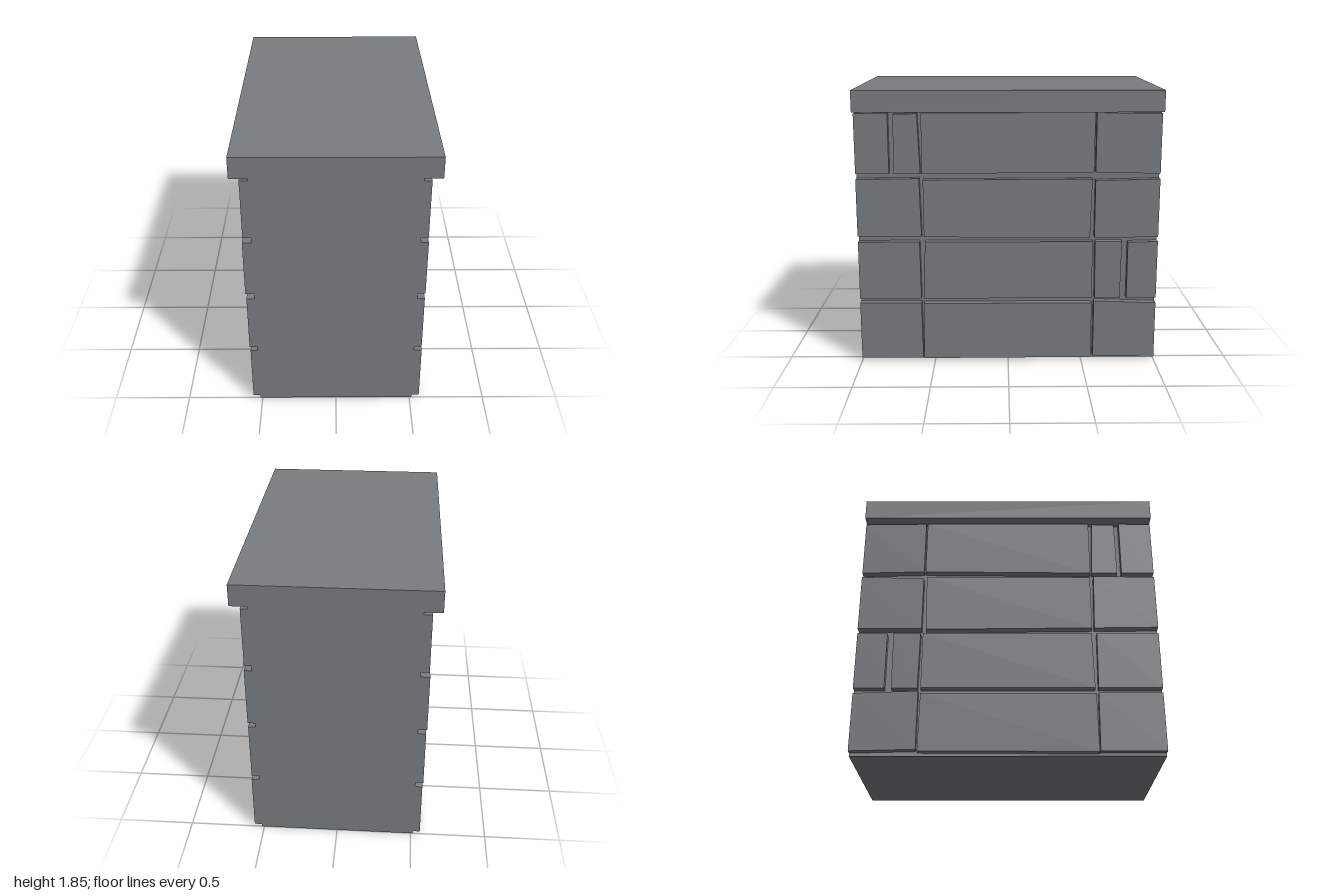
import * as THREE from 'three';

const stone = new THREE.MeshStandardMaterial({ color: 0x7a7d80 });
stone.name = 'grey stone';

// Slightly irregular blocks per course, bottom course first. Each block:
// z of front edge (bottom, top), z of back edge (bottom, top),
// y of front edge (bottom, top), y of back edge (bottom, top)
const COURSES = [
  { right: 0.565, left: 0.562, blocks: [
    [1, 1, 0.58, 0.585, 0.02, 0.415, 0.02, 0.415],
    [0.575, 0.57, -0.57, -0.565, 0.015, 0.41, 0.02, 0.41],
    [-0.58, -0.58, -1, -1, 0.03, 0.425, 0.02, 0.41],
  ] },
  { right: 0.563, left: 0.567, blocks: [
    [1, 1, 0.585, 0.59, 0.445, 0.84, 0.445, 0.84],
    [0.565, 0.555, -0.565, -0.565, 0.445, 0.84, 0.445, 0.84],
    [-0.585, -0.58, -0.755, -0.76, 0.445, 0.84, 0.445, 0.84],
    [-0.8, -0.8, -1, -1, 0.445, 0.835, 0.445, 0.84],
  ] },
  { right: 0.565, left: 0.572, blocks: [
    [1, 1, 0.575, 0.585, 0.88, 1.265, 0.875, 1.27],
    [0.56, 0.56, -0.545, -0.555, 0.875, 1.26, 0.865, 1.265],
    [-0.575, -0.575, -1, -1, 0.87, 1.255, 0.87, 1.265],
  ] },
  { right: 0.562, left: 0.567, blocks: [
    [1, 1, 0.78, 0.78, 1.3, 1.695, 1.3, 1.7],
    [0.75, 0.745, 0.575, 0.59, 1.3, 1.69, 1.3, 1.695],
    [0.565, 0.565, -0.565, -0.565, 1.3, 1.7, 1.31, 1.7],
    [-0.575, -0.575, -1, -1, 1.31, 1.7, 1.3, 1.695],
  ] },
];
const CORE = 0.515;

function box(name, w, h, d, y) {
  const mesh = new THREE.Mesh(new THREE.BoxGeometry(w, h, d), stone);
  mesh.name = name;
  mesh.position.y = y;
  return mesh;
}

// Four-cornered block set on a side face, from x0 out to x1
function block([zfb, zft, zbb, zbt, yfb, yft, ybb, ybt], x0, x1) {
  const outline = new THREE.Shape([
    new THREE.Vector2(-zfb, yfb), new THREE.Vector2(-zbb, ybb),
    new THREE.Vector2(-zbt, ybt), new THREE.Vector2(-zft, yft),
  ]);
  const geometry = new THREE.ExtrudeGeometry(outline, { depth: x1 - x0, bevelEnabled: false });
  geometry.rotateY(Math.PI / 2).translate(x0, 0, 0);
  const mesh = new THREE.Mesh(geometry, stone);
  mesh.name = 'stoneBlock';
  return mesh;
}

export function createModel() {
  const wall = new THREE.Group();
  wall.name = 'stoneWall';

  // Solid core and overhanging cap
  wall.add(box('wallCore', CORE * 2, 1.71, 2, 0.855));
  wall.add(box('capSlab', 1.256, 0.14, 2, 1.78));

  // Raised courses on both long sides
  const leftBlocks = new THREE.Group();
  const rightBlocks = new THREE.Group();
  leftBlocks.name = 'leftBlocks';
  rightBlocks.name = 'rightBlocks';
  for (const { right, left, blocks } of COURSES) {
    for (const b of blocks) {
      leftBlocks.add(block(b, CORE, right));
      rightBlocks.add(block(b, -left, -CORE));
    }
  }
  wall.add(leftBlocks, rightBlocks);
  return wall;
}
